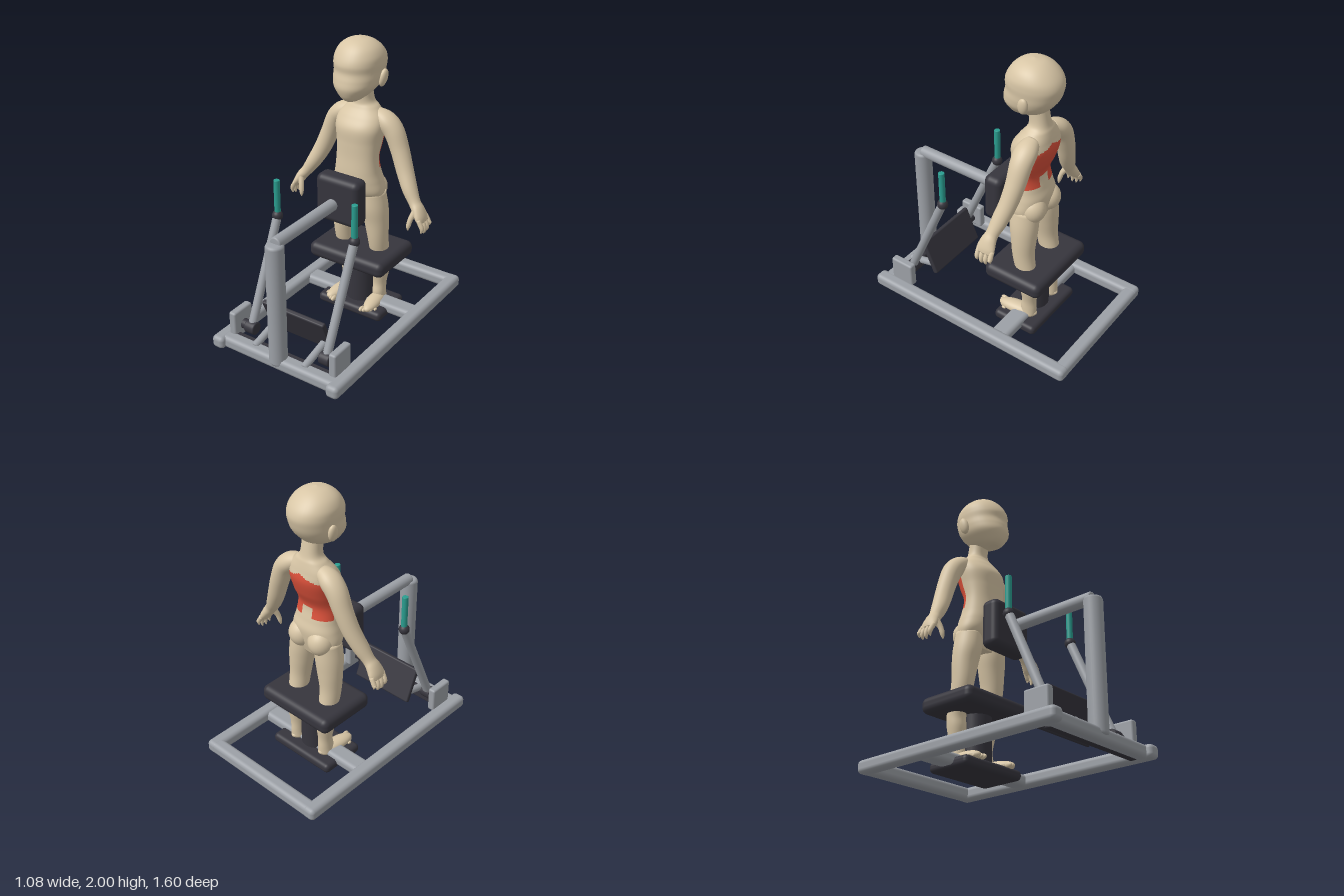
import * as THREE from 'three';
import { RoundedBoxGeometry } from 'three/addons/geometries/RoundedBoxGeometry.js';

const V3 = (x, y, z) => new THREE.Vector3(x, y, z);

// Elliptical rings [x, y, z, halfWidth, halfDepth], splined into one smooth closed skin.
// Upright rings stay level; otherwise they follow the path. paint(p, angle) picks faces for group 1.
function loft(rings, { upright = true, steps = 48, seg = 32, square = 1, paint = null } = {}) {
  const centre = new THREE.CatmullRomCurve3(rings.map(r => V3(r[0], r[1], r[2])), false, 'catmullrom', 0.5);
  const size = new THREE.CatmullRomCurve3(rings.map(r => V3(r[3], r[4], 0)), false, 'catmullrom', 0.5);
  const soft = v => Math.sign(v) * Math.abs(v) ** square;
  const pos = [], faces = [[], []];
  for (let i = 0; i <= steps; i++) {
    const c = centre.getPoint(i / steps), s = size.getPoint(i / steps);
    const t = upright ? V3(0, 1, 0) : centre.getTangent(i / steps);
    const u = t.clone().cross(V3(0, 0, 1)).normalize();
    const v = u.clone().cross(t);
    for (let j = 0; j < seg; j++) {
      const a = (j / seg) * Math.PI * 2;
      const p = c.clone().addScaledVector(u, s.x * soft(Math.cos(a))).addScaledVector(v, s.y * soft(Math.sin(a)));
      pos.push(p.x, p.y, p.z);
    }
  }
  for (let i = 0; i < steps; i++) for (let j = 0; j < seg; j++) {
    const a = i * seg + j, b = i * seg + (j + 1) % seg, c = a + seg, d = b + seg;
    const p = V3(pos[a * 3], pos[a * 3 + 1], pos[a * 3 + 2]);
    faces[paint && paint(p, ((j + 0.5) / seg) * Math.PI * 2) ? 1 : 0].push(a, c, b, b, c, d);
  }
  // end caps
  const n = pos.length / 3, top = steps * seg;
  for (const t of [0, 1]) pos.push(...centre.getPoint(t).toArray());
  for (let j = 0; j < seg; j++) {
    const k = (j + 1) % seg;
    faces[0].push(n, j, k, n + 1, top + k, top + j);
  }
  const g = new THREE.BufferGeometry();
  g.setAttribute('position', new THREE.Float32BufferAttribute(pos, 3));
  g.setIndex(faces.flat());
  if (paint) {
    g.addGroup(0, faces[0].length, 0);
    g.addGroup(faces[0].length, faces[1].length, 1);
  }
  g.computeVertexNormals();
  return g;
}

export function createModel() {
  const model = new THREE.Group();
  const mat = (name, color) => Object.assign(new THREE.MeshStandardMaterial({ color }), { name });
  const skin = mat('skin', 0xd8c6a6);
  const red = mat('highlight red', 0xd9503a);
  const steel = mat('steel grey', 0x9ca0a6);
  const dark = mat('dark padding', 0x36353d);
  const teal = mat('teal grip', 0x2a9d8f);

  const frame = new THREE.Group(), figure = new THREE.Group();
  frame.name = 'machine';
  figure.name = 'figure';
  model.add(frame, figure);

  const add = (parent, name, geometry, material) => {
    const m = new THREE.Mesh(geometry, material);
    m.name = name;
    parent.add(m);
    return m;
  };
  const box = (name, material, [x, y, z], [w, h, d], r = 0.03) => {
    const m = add(frame, name, new RoundedBoxGeometry(w, h, d, 4, r), material);
    m.position.set(x, y, z);
    return m;
  };
  // Round bar with softened ends between two points
  const rod = (parent, name, material, from, to, r, bevel = 0.008) => {
    const a = V3(...from), dir = V3(...to).sub(a), h = dir.length();
    const pts = [[0, 0], [r - bevel, 0], [r - bevel * 0.3, bevel * 0.3], [r, bevel],
      [r, h - bevel], [r - bevel * 0.3, h - bevel * 0.3], [r - bevel, h], [0, h]];
    const m = add(parent, name, new THREE.LatheGeometry(pts.map(p => new THREE.Vector2(...p)), 28), material);
    m.position.copy(a);
    m.quaternion.setFromUnitVectors(V3(0, 1, 0), dir.normalize());
    return m;
  };
  const ball = (parent, name, material, [x, y, z], [rx, ry, rz]) => {
    const m = add(parent, name, new THREE.SphereGeometry(1, 28, 20), material);
    m.position.set(x, y, z);
    m.scale.set(rx, ry, rz);
    return m;
  };

  // Base frame
  box('backRail', steel, [0, 0.065, -0.752], [0.94, 0.088, 0.094]);
  box('frontRail', steel, [0, 0.065, 0.715], [0.94, 0.088, 0.1]);
  box('frontRailLiner', dark, [0, 0.062, 0.675], [0.82, 0.09, 0.05], 0.01);
  box('crossRail', steel, [0, 0.06, -0.245], [0.9, 0.078, 0.13]);

  // Seat, post and foot plate
  box('footPlate', dark, [0, 0.035, -0.24], [0.52, 0.07, 0.33]);
  rod(frame, 'seatPost', dark, [0, 0.05, -0.24], [0, 0.42, -0.24], 0.1);
  box('seat', dark, [0, 0.447, -0.24], [0.6, 0.112, 0.44], 0.045);

  // Mast, arm and chest pad
  rod(frame, 'mast', steel, [0, 0.06, 0.722], [0, 0.943, 0.722], 0.061, 0.02);
  rod(frame, 'padArm', steel, [0, 0.944, 0.72], [0, 0.944, 0.105], 0.041, 0.01);
  box('chestPad', dark, [0, 0.945, 0.008], [0.335, 0.335, 0.135], 0.045);

  // Tilted front panel
  box('frontPanel', dark, [0, 0.232, 0.508], [0.495, 0.265, 0.036], 0.012).rotation.x = 0.4;

  for (const s of [1, -1]) {
    const x = v => v * s;
    box('sideRail', steel, [x(0.46), 0.065, 0], [0.094, 0.09, 1.6]);
    box('pivotBracket', steel, [x(0.403), 0.18, 0.61], [0.055, 0.18, 0.18], 0.015);
    rod(frame, 'panelSupport', steel, [x(0.2), 0.16, 0.49], [x(0.2), 0.1, 0.72], 0.026, 0.012);
    rod(frame, 'pivotHub', dark, [x(0.263), 0.152, 0.615], [x(0.342), 0.152, 0.615], 0.045);
    rod(frame, 'pivotAxle', dark, [x(0.33), 0.152, 0.61], [x(0.39), 0.152, 0.61], 0.035);
    rod(frame, 'lever', steel, [x(0.303), 0.16, 0.613], [x(0.303), 0.86, 0.305], 0.03);
    ball(frame, 'leverJoint', dark, [x(0.303), 0.86, 0.305], [0.037, 0.037, 0.037]);
    rod(frame, 'grip', teal, [x(0.303), 0.885, 0.303], [x(0.303), 1.118, 0.303], 0.021, 0.003);
  }

  // Torso, with a red area across the back
  const backArea = (p, a) => Math.sin(a) < -0.2 && p.y > 1.12 && p.y < 1.45 - 0.3 * Math.abs(p.x)
    && !(Math.abs(p.x) < 0.045 && p.y < 1.19);
  add(figure, 'torso', loft([
    [0, 0.84, -0.222, 0.12, 0.07], [0, 0.9, -0.22, 0.172, 0.09], [0, 0.96, -0.208, 0.188, 0.115],
    [0, 1.03, -0.203, 0.176, 0.125], [0, 1.1, -0.193, 0.16, 0.116], [0, 1.2, -0.188, 0.15, 0.104],
    [0, 1.3, -0.208, 0.158, 0.123], [0, 1.4, -0.222, 0.172, 0.135], [0, 1.47, -0.237, 0.16, 0.11],
    [0, 1.53, -0.252, 0.11, 0.08], [0, 1.58, -0.25, 0.07, 0.065], [0, 1.72, -0.228, 0.066, 0.062],
  ], { steps: 96, seg: 64, square: 0.88, paint: backArea }), [skin, red]);

  // Head
  add(figure, 'head', loft([
    [0, 1.605, -0.1, 0.03, 0.035], [0, 1.62, -0.112, 0.062, 0.068], [0, 1.65, -0.15, 0.098, 0.128],
    [0, 1.7, -0.17, 0.138, 0.165], [0, 1.75, -0.191, 0.153, 0.18], [0, 1.8, -0.206, 0.157, 0.183],
    [0, 1.85, -0.208, 0.161, 0.188], [0, 1.9, -0.208, 0.155, 0.169], [0, 1.95, -0.203, 0.125, 0.128],
    [0, 1.985, -0.2, 0.072, 0.074], [0, 2, -0.2, 0.004, 0.004],
  ], { steps: 64, seg: 40, square: 0.95 }), skin);

  for (const s of [1, -1]) {
    const side = rings => rings.map(([x, ...rest]) => [x * s, ...rest]);
    const ear = ball(figure, 'ear', skin, [0.16 * s, 1.752, -0.23], [0.024, 0.06, 0.036]);
    ear.rotation.set(-0.2, 0, -0.15 * s);
    ball(figure, 'buttock', skin, [0.085 * s, 0.95, -0.265], [0.088, 0.095, 0.09]);

    // Leg and foot
    add(figure, 'leg', loft(side([
      [0.13, 0.07, -0.282, 0.05, 0.055], [0.13, 0.13, -0.28, 0.047, 0.057], [0.13, 0.2, -0.285, 0.048, 0.051],
      [0.135, 0.3, -0.285, 0.061, 0.065], [0.14, 0.38, -0.284, 0.061, 0.065], [0.14, 0.5, -0.252, 0.066, 0.073],
      [0.138, 0.6, -0.235, 0.072, 0.077], [0.128, 0.72, -0.23, 0.085, 0.087],
      [0.115, 0.83, -0.223, 0.092, 0.098], [0.1, 0.95, -0.22, 0.085, 0.095],
    ])), skin);
    ball(figure, 'foot', skin, [0.142 * s, 0.082, -0.2], [0.054, 0.042, 0.145]).rotation.y = 0.12 * s;
    for (let i = 0; i < 5; i++) {
      const r = 0.018 - i * 0.002;
      ball(figure, 'toe', skin, [(0.118 + i * 0.021) * s, 0.075, -0.07 - i * i * 0.003], [r * 0.8, r, r * 1.6]);
    }

    // Arm and palm
    add(figure, 'arm', loft(side([
      [0.09, 1.485, -0.262, 0.045, 0.05], [0.165, 1.447, -0.265, 0.064, 0.075], [0.225, 1.385, -0.268, 0.066, 0.073],
      [0.275, 1.27, -0.265, 0.062, 0.065], [0.328, 1.14, -0.248, 0.058, 0.059], [0.385, 1.03, -0.222, 0.05, 0.054],
      [0.433, 0.955, -0.205, 0.039, 0.043], [0.465, 0.915, -0.198, 0.036, 0.053],
      [0.492, 0.87, -0.195, 0.03, 0.064], [0.508, 0.838, -0.195, 0.02, 0.058],
    ]), { upright: false }), skin);

    // Fingers and thumb
    const digit = (name, pts) => add(figure, name, loft(side(pts), { upright: false, steps: 14, seg: 12 }), skin);
    for (let i = 0; i < 4; i++) {
      const z = -0.147 - i * 0.033, drop = [0.012, 0, 0.004, 0.028][i];
      digit('finger', [[0.497, 0.865, z, 0.016, 0.016], [0.522, 0.82, z - 0.002, 0.016, 0.016],
        [0.527, 0.785 + drop, z - 0.003, 0.013, 0.013], [0.52, 0.762 + drop, z - 0.003, 0.004, 0.004]]);
    }
    digit('thumb', [[0.462, 0.91, -0.17, 0.024, 0.026], [0.443, 0.86, -0.145, 0.018, 0.018],
      [0.434, 0.81, -0.133, 0.015, 0.015], [0.432, 0.778, -0.13, 0.004, 0.004]]);
  }
  return model;
}
